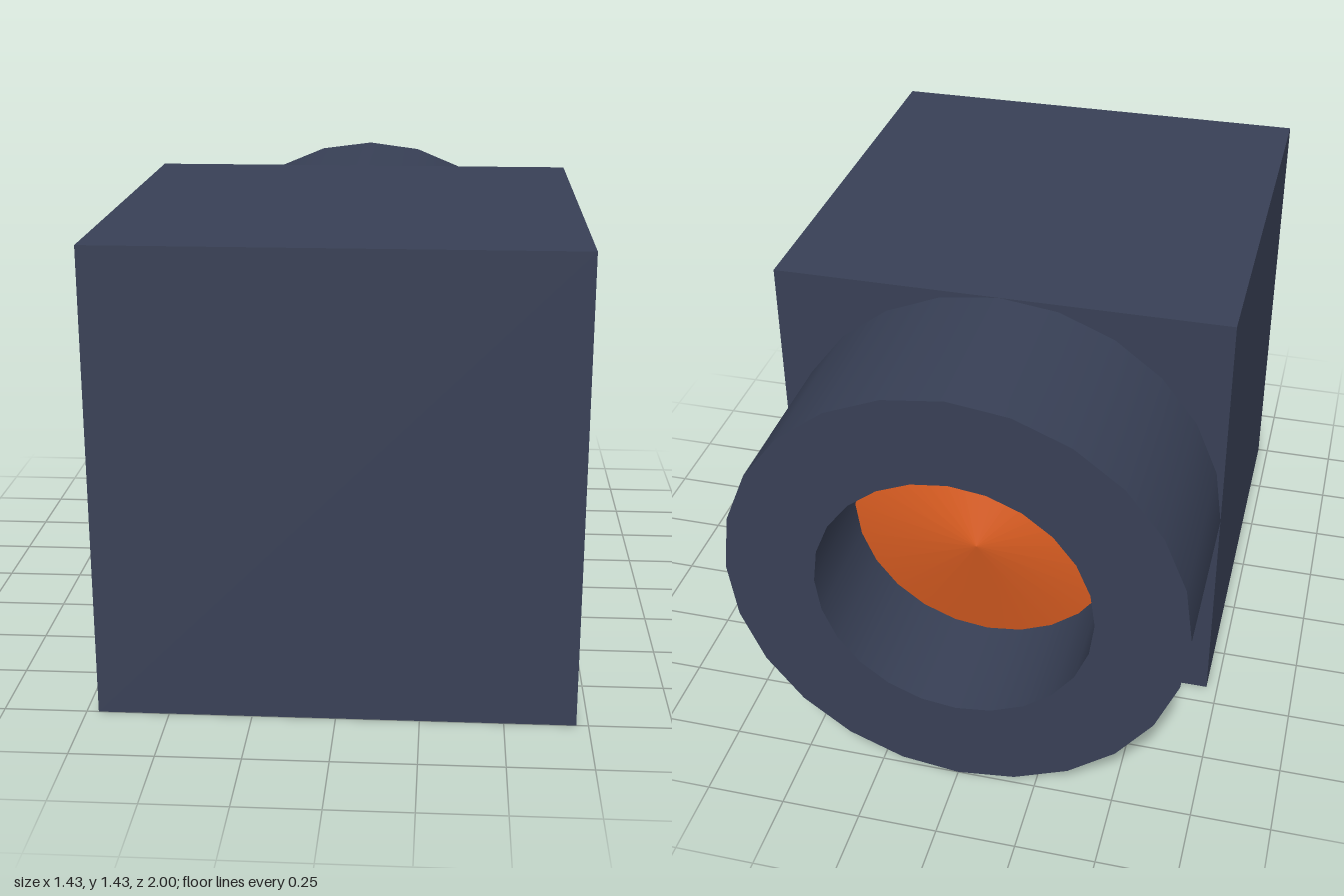
import * as THREE from 'three';

export function createModel() {
  const navy = new THREE.MeshStandardMaterial({ color: 0x384056 });
  navy.name = 'navy casing';
  const orange = new THREE.MeshStandardMaterial({ color: 0xdc5e22 });
  orange.name = 'orange lens';

  const half = 0.714, bore = 0.43, model = new THREE.Group();

  // Cube housing, standing on the ground and flush with the front
  const housing = new THREE.Mesh(new THREE.BoxGeometry(2 * half, 2 * half, 2 * half), navy);
  housing.name = 'housing';
  housing.position.set(0, half, 1 - half);
  model.add(housing);

  // Surface turned round the barrel axis; each end is [radius, distance towards the back]
  const turned = (name, material, from, to) => {
    const profile = [from, to].map(([r, d]) => new THREE.Vector2(r, d));
    const mesh = new THREE.Mesh(new THREE.LatheGeometry(profile, 24).rotateX(-Math.PI / 2), material);
    mesh.name = name;
    mesh.position.y = half;
    return mesh;
  };

  // Hollow barrel behind the housing
  const barrel = new THREE.Group();
  barrel.name = 'barrel';
  barrel.add(
    turned('barrelOuterWall', navy, [half, 0.428], [half, 1]),
    turned('barrelRim', navy, [half, 1], [bore, 1]),
    turned('barrelInnerWall', navy, [bore, 1], [bore, 0.6]),
  );
  model.add(barrel);

  // Shallow convex lens recessed in the bore
  model.add(turned('lens', orange, [bore, 0.62], [0, 0.73]));

  return model;
}
